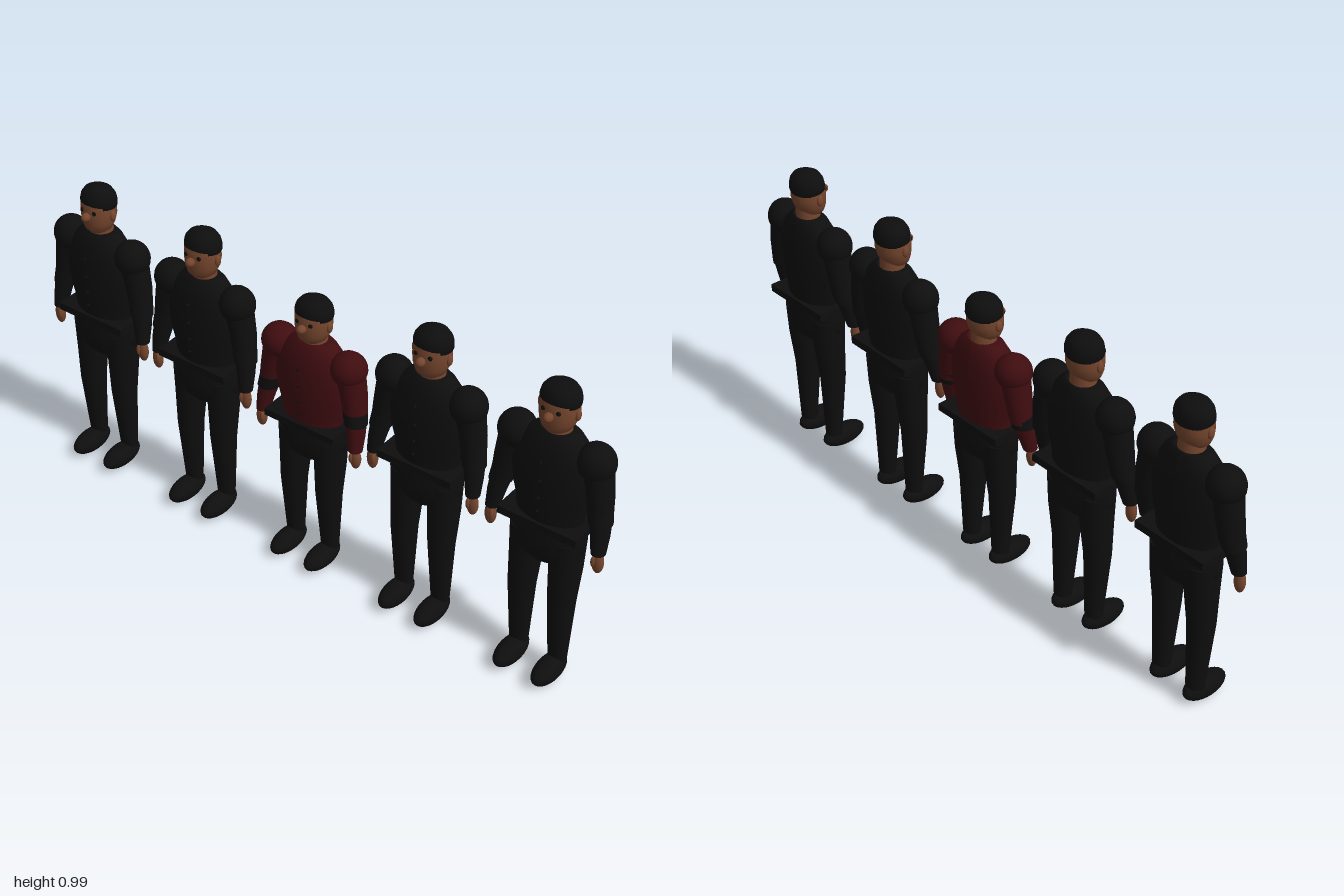
import * as THREE from 'three';

const mat = (name, color) => Object.assign(new THREE.MeshStandardMaterial({ color }), { name });

// Stacked ellipses, top first: [y, halfWidth, halfDepth, centreZ, centreX]
function loft(rows, sides = 28) {
  const n = rows.length - 1;
  const geo = new THREE.CylinderGeometry(1, 1, 1, sides, n, false, Math.PI);
  const p = geo.attributes.position;
  for (let i = 0; i < p.count; i++) {
    const [y, rx, rz, cz = 0, cx = 0] = rows[Math.round((0.5 - p.getY(i)) * n)];
    p.setXYZ(i, p.getX(i) * rx + cx, y, p.getZ(i) * rz + cz);
  }
  geo.computeVertexNormals();
  return geo;
}

function add(group, name, geo, material, x = 0, y = 0, z = 0) {
  const mesh = new THREE.Mesh(geo, material);
  mesh.name = name;
  mesh.position.set(x, y, z);
  group.add(mesh);
  return mesh;
}

const ball = (rx, ry = rx, rz = rx) => new THREE.SphereGeometry(1, 24, 16).scale(rx, ry, rz);

function makeFigure(m, coat) {
  const g = new THREE.Group();

  // Head, neck and cap of hair
  add(g, 'neck', loft([[0.88, 0.037, 0.036, -0.027], [0.82, 0.04, 0.038, -0.028]]), m.skin);
  add(g, 'head', loft([
    [0.965, 0.045, 0.04, -0.024], [0.94, 0.056, 0.05, -0.023], [0.905, 0.057, 0.052, -0.023],
    [0.88, 0.053, 0.048, -0.02], [0.858, 0.043, 0.04, -0.017], [0.845, 0.028, 0.026, -0.016],
    [0.84, 0.01, 0.01, -0.016],
  ]), m.skin);
  add(g, 'hair', loft([
    [0.99, 0.008, 0.007, -0.026], [0.988, 0.025, 0.022, -0.026], [0.979, 0.044, 0.039, -0.026],
    [0.964, 0.055, 0.048, -0.026], [0.948, 0.059, 0.051, -0.026], [0.932, 0.058, 0.052, -0.026],
    [0.924, 0.053, 0.046, -0.029],
  ]), m.black);
  add(g, 'nose', ball(0.014, 0.014, 0.016), m.skin, 0, 0.908, 0.034);

  // Jacket, buttons, belt and hips
  add(g, 'jacket', loft([
    [0.842, 0.055, 0.04, -0.028], [0.83, 0.075, 0.049, -0.027], [0.8, 0.105, 0.058, -0.025],
    [0.76, 0.123, 0.065, -0.023], [0.7, 0.127, 0.069, -0.022], [0.64, 0.118, 0.069, -0.022],
    [0.6, 0.106, 0.066, -0.022], [0.55, 0.1, 0.063, -0.022],
  ]), coat);
  for (const y of [0.77, 0.707, 0.65, 0.605]) add(g, 'button', ball(0.0045), m.black, 0, y, 0.052);
  add(g, 'belt', new THREE.BoxGeometry(0.25, 0.024, 0.145), m.black, 0, 0.55, -0.022);
  add(g, 'hips', loft([
    [0.545, 0.114, 0.062, -0.022], [0.5, 0.118, 0.066, -0.021], [0.46, 0.114, 0.065, -0.021],
    [0.425, 0.09, 0.054, -0.021], [0.405, 0.045, 0.035, -0.02],
  ]), m.black);

  // Mirrored parts
  for (const s of [1, -1]) {
    add(g, 'ear', ball(0.008, 0.018, 0.011), m.skin, s * 0.057, 0.908, -0.022);
    add(g, 'eye', ball(0.007, 0.007, 0.005), m.black, s * 0.023, 0.923, 0.023);
    add(g, 'shoulder', ball(0.056, 0.057, 0.054), coat, s * 0.123, 0.783, -0.025);
    add(g, 'upperArm', loft([
      [0.78, 0.045, 0.045, -0.025, s * 0.127], [0.69, 0.039, 0.041, -0.024, s * 0.144],
      [0.62, 0.034, 0.036, -0.02, s * 0.154],
    ]), coat);
    add(g, 'elbowBand', loft([
      [0.645, 0.036, 0.038, -0.021, s * 0.15], [0.602, 0.034, 0.036, -0.016, s * 0.158],
    ]), m.black);
    add(g, 'forearm', loft([
      [0.61, 0.031, 0.033, -0.017, s * 0.157], [0.565, 0.027, 0.028, -0.009, s * 0.164],
      [0.512, 0.021, 0.022, 0, s * 0.169],
    ]), coat);
    add(g, 'hand', ball(0.018, 0.037, 0.014), m.skin, s * 0.172, 0.482, 0.003);
    add(g, 'thumb', ball(0.007, 0.018, 0.007), m.skin, s * 0.163, 0.487, 0.014);
    add(g, 'leg', loft([
      [0.5, 0.054, 0.056, -0.022, s * 0.061], [0.4, 0.048, 0.05, -0.021, s * 0.064],
      [0.28, 0.041, 0.041, -0.014, s * 0.065], [0.06, 0.029, 0.025, -0.021, s * 0.065],
    ]), m.black);
    add(g, 'shoe', ball(0.037, 0.035, 0.078), m.black, s * 0.064, 0.038, 0.018);
  }
  return g;
}

export function createModel() {
  const m = {
    black: mat('black cloth', 0x0e0e0f),
    skin: mat('brown skin', 0x74452d),
    red: mat('dark red cloth', 0x3f0d10),
  };
  const model = new THREE.Group();
  model.name = 'lineOfFigures';
  // Five figures in a row, with a shorter one in red in the middle
  for (let i = -2; i <= 2; i++) {
    const figure = makeFigure(m, i === 0 ? m.red : m.black);
    figure.name = i === 0 ? 'leadFigure' : 'figure';
    figure.position.x = i * 0.404;
    if (i === 0) figure.scale.y = 0.93;
    model.add(figure);
  }
  return model;
}
